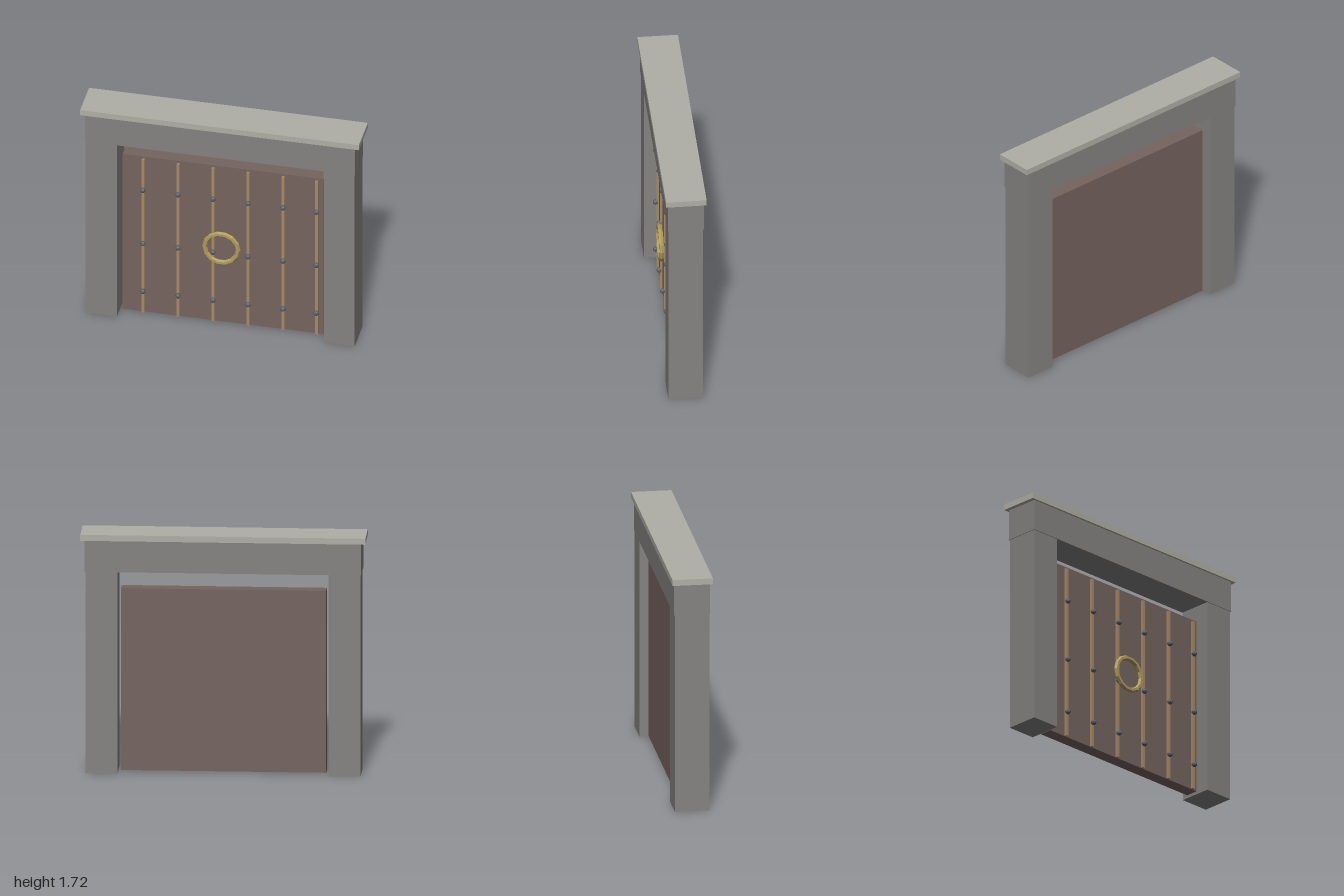
import * as THREE from 'three';

const material = (color) => new THREE.MeshStandardMaterial({ color, flatShading: true });

export function createModel() {
  const gate = new THREE.Group();
  gate.name = 'gate';

  const stone = material(0x858381);
  const capStone = material(0xb0afa6);
  const wood = material(0x75645f);
  const strapMetal = material(0xa58a68);
  const iron = material(0x5c6066);
  const brass = material(0xb09c5c);

  const add = (name, geometry, mat, x, y, z) => {
    const mesh = new THREE.Mesh(geometry, mat);
    mesh.name = name;
    mesh.position.set(x, y, z);
    gate.add(mesh);
    return mesh;
  };
  // Box given by its minimum and maximum corners
  const block = (name, mat, [x0, y0, z0], [x1, y1, z1]) =>
    add(name, new THREE.BoxGeometry(x1 - x0, y1 - y0, z1 - z0), mat,
      (x0 + x1) / 2, (y0 + y1) / 2, (z0 + z1) / 2);

  // Stone frame
  block('rightPillar', stone, [-0.965, 0, -0.122], [-0.74, 1.45, 0.122]);
  block('leftPillar', stone, [0.74, 0, -0.122], [0.965, 1.45, 0.122]);
  block('lintel', stone, [-0.97, 1.45, -0.127], [0.97, 1.677, 0.127]);
  block('capstone', capStone, [-1, 1.677, -0.143], [1, 1.72, 0.143]);

  // Door panel
  const doorFront = 0.035;
  block('doorPanel', wood, [-0.72, 0.01, -0.06], [0.72, 1.32, doorFront]);

  // Vertical straps with three studs each
  const studGeometry = new THREE.SphereGeometry(0.02, 8, 6);
  for (const x of [-0.57, -0.318, -0.067, 0.184, 0.435, 0.675]) {
    block('strap', strapMetal, [x - 0.01, 0.012, doorFront - 0.005], [x + 0.01, 1.303, doorFront + 0.017]);
    for (const y of [0.195, 0.6, 1.05]) add('stud', studGeometry, iron, x, y, 0.058);
  }

  // Ring handle
  add('ringHandle', new THREE.TorusGeometry(0.12, 0.018, 6, 14), brass, 0, 0.663, 0.085);

  return gate;
}
